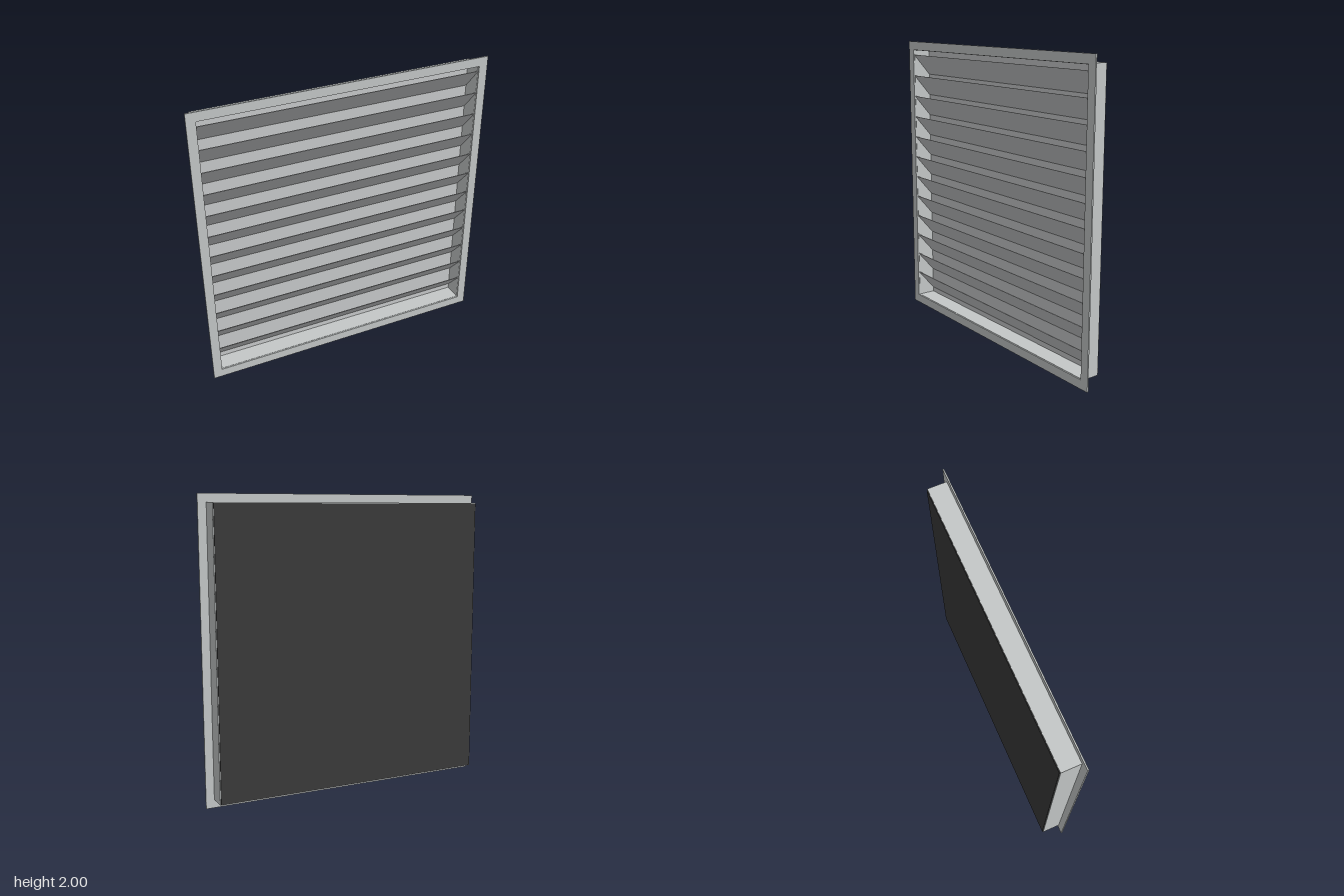
import * as THREE from 'three';

const frameGrey = new THREE.MeshStandardMaterial({ name: 'frameGrey', color: 0xc4c8c8 });
const bladeGrey = new THREE.MeshStandardMaterial({ name: 'bladeGrey', color: 0xc8cacb });
const meshBlack = new THREE.MeshStandardMaterial({ name: 'meshBlack', color: 0x3a3a3a });

const MID = 1; // height of the centre

// Square ring extruded from zBack to zFront
function ring(name, outer, inner, zBack, zFront) {
  const square = (T, h) => new T([[-h, -h], [h, -h], [h, h], [-h, h]].map(([x, y]) => new THREE.Vector2(x, y)));
  const shape = square(THREE.Shape, outer);
  shape.holes.push(square(THREE.Path, inner));
  const geo = new THREE.ExtrudeGeometry(shape, { depth: zFront - zBack, bevelEnabled: false });
  const mesh = new THREE.Mesh(geo, frameGrey);
  mesh.name = name;
  mesh.position.set(0, MID, zBack);
  return mesh;
}

function plate(name, size, zBack, zFront, material) {
  const mesh = new THREE.Mesh(new THREE.BoxGeometry(size, size, zFront - zBack), material);
  mesh.name = name;
  mesh.position.set(0, MID, (zBack + zFront) / 2);
  return mesh;
}

export function createModel() {
  const group = new THREE.Group();
  group.name = 'louvreVent';

  // Thin wall flange, and the duct collar behind it
  group.add(ring('flange', 1, 0.94, 0.061, 0.07));
  group.add(ring('collar', 0.945, 0.938, -0.064, 0.061));

  // Backing inside the collar and the dark screen behind it
  group.add(plate('backing', 1.876, -0.064, -0.061, bladeGrey));
  group.add(plate('rearScreen', 1.88, -0.07, -0.0642, meshBlack));

  // Slanted blades: high at the front, low at the back
  const blades = new THREE.Group();
  blades.name = 'blades';
  const count = 12, pitch = 0.151, top = 1.905, drop = 0.146, t = 0.007;
  const profile = new THREE.Shape([
    [0.065, 0], [0.065 - t, 0], [-0.06, -drop + t], [-0.06, -drop],
  ].map(([z, y]) => new THREE.Vector2(-z, y)));
  const bladeGeo = new THREE.ExtrudeGeometry(profile, { depth: 1.876, bevelEnabled: false });
  bladeGeo.translate(0, 0, -0.938).rotateY(Math.PI / 2); // profile x becomes -z
  for (let i = 0; i < count; i++) {
    const blade = new THREE.Mesh(bladeGeo, bladeGrey);
    blade.name = 'blade';
    blade.position.y = top - i * pitch;
    blades.add(blade);
  }
  group.add(blades);
  return group;
}
